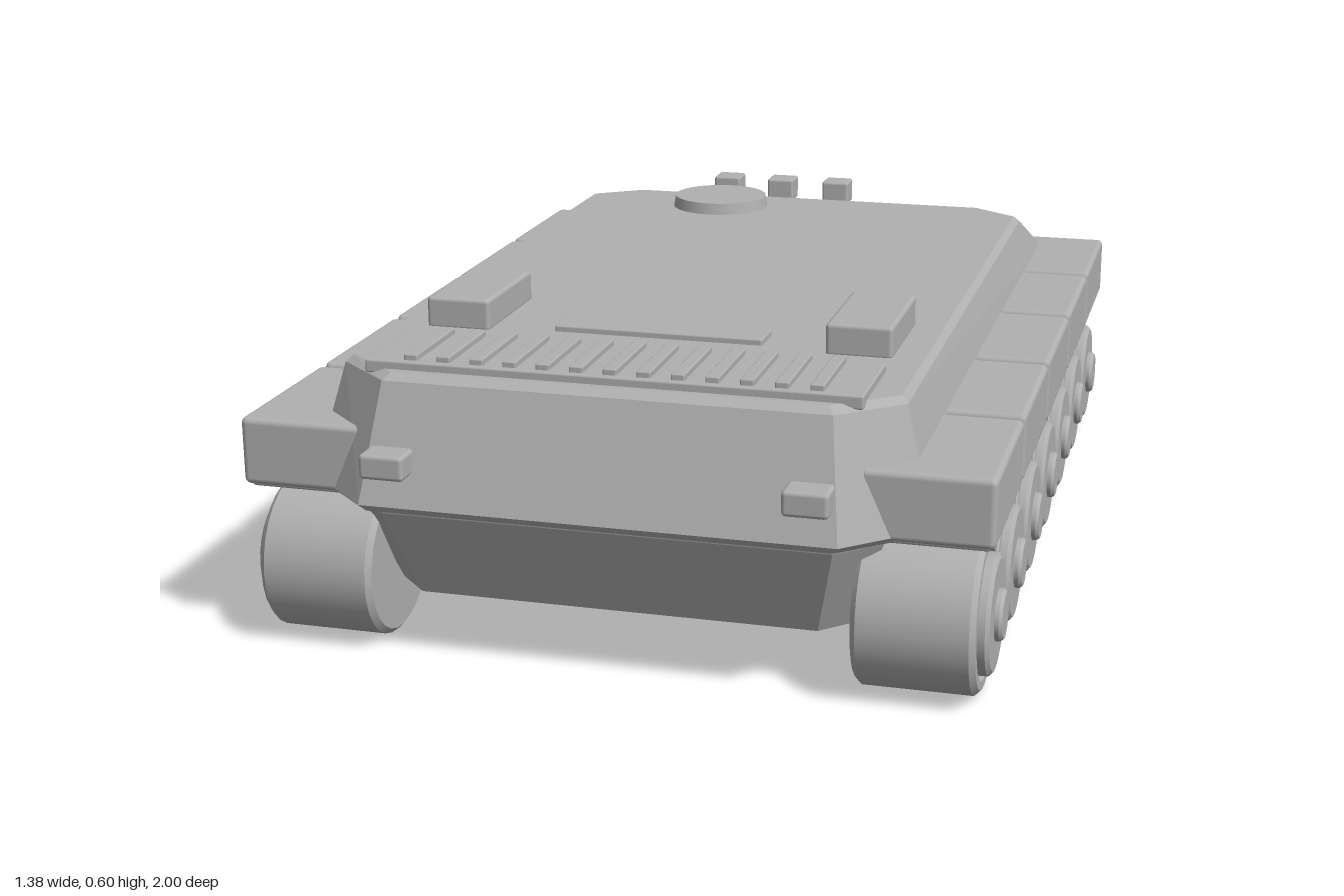
import * as THREE from 'three';
import { RoundedBoxGeometry } from 'three/addons/geometries/RoundedBoxGeometry.js';
import { ConvexGeometry } from 'three/addons/geometries/ConvexGeometry.js';

export function createModel() {
  const model = new THREE.Group();
  model.name = 'armouredVehicle';
  const grey = new THREE.MeshStandardMaterial({ color: 0xb0b0b0 });
  grey.name = 'plain grey';

  function add(name, geometry, x = 0, y = 0, z = 0) {
    const mesh = new THREE.Mesh(geometry, grey);
    mesh.name = name;
    mesh.position.set(x, y, z);
    model.add(mesh);
    return mesh;
  }
  // Softly bevelled box given by its limits
  function box(name, x0, x1, y0, y1, z0, z1, r = 0.006) {
    return add(name, new RoundedBoxGeometry(x1 - x0, y1 - y0, z1 - z0, 2, r),
      (x0 + x1) / 2, (y0 + y1) / 2, (z0 + z1) / 2);
  }
  // Convex shell from half-side corners [x, y, z], mirrored across x
  function shell(name, corners) {
    const pts = corners.flatMap(([x, y, z]) =>
      [new THREE.Vector3(x, y, z), new THREE.Vector3(-x, y, z)]);
    return add(name, new ConvexGeometry(pts));
  }

  // Upper hull: chamfered corners, sloped sides and long rear slope
  shell('upperHull', [
    [0.42, 0.305, 0.97], [0.56, 0.305, 0.845], [0.56, 0.305, -0.845], [0.42, 0.305, -0.99],
    [0.43, 0.318, 0.98], [0.57, 0.318, 0.85], [0.57, 0.318, -0.85], [0.43, 0.318, -1.0],
    [0.42, 0.43, -0.967], [0.545, 0.43, -0.815],
    [0.405, 0.528, 0.91], [0.515, 0.528, 0.815],
    [0.395, 0.54, 0.893], [0.503, 0.54, 0.805],
    [0.515, 0.528, -0.63], [0.503, 0.54, -0.62], [0.405, 0.54, -0.69],
  ]);

  // Lower hull tub, narrowing to the belly
  shell('lowerHull', [
    [0.41, 0.31, 0.93], [0.49, 0.31, 0.86], [0.49, 0.31, -0.84], [0.41, 0.31, -0.925],
    [0.41, 0.285, 0.925], [0.485, 0.285, 0.855], [0.485, 0.285, -0.83], [0.41, 0.285, -0.915],
    [0.37, 0.11, 0.85], [0.43, 0.11, 0.79], [0.43, 0.11, -0.76], [0.37, 0.11, -0.825],
  ]);

  // Wheel profile [radius, distance along the axle]: tyre, disc, hub cap
  const profile = [
    [0, 0], [0.135, 0], [0.145, 0.01], [0.145, 0.207], [0.135, 0.217], [0.119, 0.217],
    [0.115, 0.21], [0.109, 0.21], [0.109, 0.229], [0.1, 0.236], [0.047, 0.236],
    [0.047, 0.244], [0.042, 0.25], [0, 0.25],
  ];
  // Separate bands keep every profile edge crisp
  function wheel(name, side, z) {
    const group = new THREE.Group();
    group.name = name;
    for (let i = 0; i < profile.length - 1; i++) {
      const band = new THREE.LatheGeometry(
        [new THREE.Vector2(...profile[i]), new THREE.Vector2(...profile[i + 1])], 28);
      const mesh = new THREE.Mesh(band, grey);
      mesh.name = 'wheelBand';
      group.add(mesh);
    }
    group.rotation.z = -side * Math.PI / 2;
    group.position.set(side * 0.44, 0.146, z);
    model.add(group);
  }

  for (const side of [1, -1]) {
    const label = side > 0 ? 'left' : 'right';
    const mirrored = (name, a, b, ...rest) =>
      box(name, Math.min(side * a, side * b), Math.max(side * a, side * b), ...rest);

    for (let i = 0; i < 7; i++) wheel(label + 'Wheel', side, 0.782 - i * 0.2543);

    // Fender backing with five separate storage panels
    mirrored(label + 'FenderBase', 0.45, 0.675, 0.303, 0.425, -0.87, 0.895);
    for (let i = 0; i < 5; i++) {
      const z = 0.012 + (i - 2) * 0.3625;
      mirrored(label + 'FenderPanel', 0.45, 0.685, 0.31, 0.437, z - 0.172, z + 0.172, 0.012);
    }

    // Deck boxes and lamps
    mirrored(label + 'DeckBox', 0.322, 0.446, 0.535, 0.597, 0.348, 0.592, 0.008);
    mirrored(label + 'FrontLamp', 0.336, 0.418, 0.373, 0.419, 0.9, 1.0, 0.008);
    mirrored(label + 'RearLamp', 0.275, 0.42, 0.425, 0.467, -0.972, -0.905);
    mirrored(label + 'RearLampLens', 0.298, 0.395, 0.435, 0.457, -0.985, -0.96, 0.004);
  }

  // Engine grille with raised slats
  box('grillePlate', -0.45, 0.45, 0.53, 0.555, 0.67, 0.878, 0.004);
  for (let i = 0; i < 13; i++) {
    const x = (i - 6) * 0.0613;
    box('grilleSlat', x - 0.0125, x + 0.0125, 0.545, 0.566, 0.68, 0.866, 0.003);
  }
  box('deckPlate', -0.2, 0.2, 0.53, 0.552, 0.495, 0.57, 0.004);

  // Hatch and three sight blocks
  add('hatch', new THREE.CylinderGeometry(0.105, 0.11, 0.03, 40), -0.18, 0.55, -0.575);
  for (const x of [-0.195, -0.065, 0.068]) {
    box('sightBlock', x - 0.031, x + 0.031, 0.53, 0.582, -0.753, -0.692);
  }
  return model;
}
